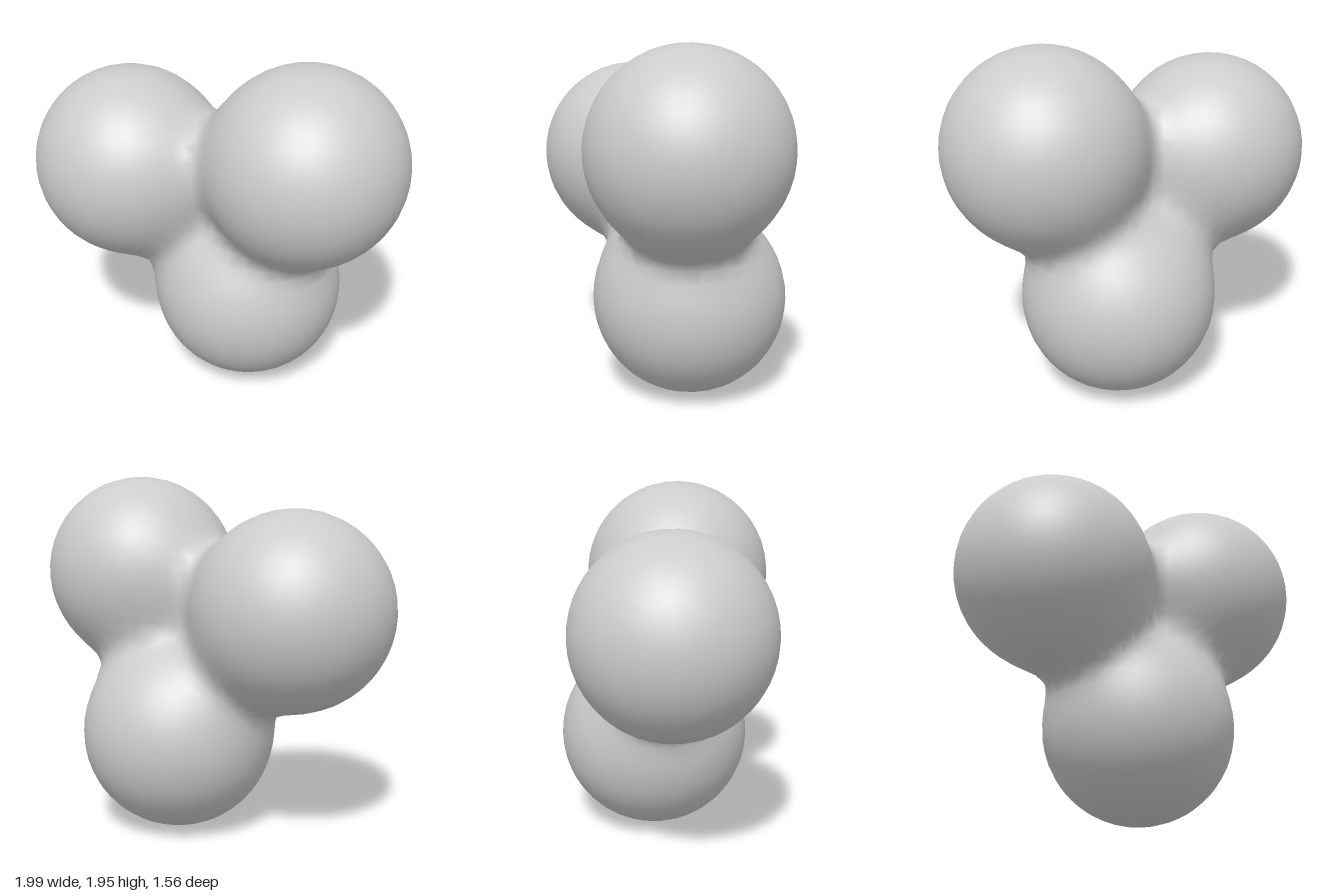
import * as THREE from 'three';

// Three equal balls melted into one another
const RADIUS = 0.535;
const BLEND = 0.088;
const CENTRES = [
  new THREE.Vector3(-0.465, 1.255, 0.245),
  new THREE.Vector3(0.455, 1.42, -0.245),
  new THREE.Vector3(0.07, 0.538, -0.185),
];

// Smooth union of the balls: negative inside, positive outside
function field(p) {
  let sum = 0;
  for (const c of CENTRES) sum += Math.exp((RADIUS - p.distanceTo(c)) / BLEND);
  return -BLEND * Math.log(sum);
}

function gradient(p) {
  const g = new THREE.Vector3();
  for (const c of CENTRES) {
    const d = p.clone().sub(c);
    const length = d.length() || 1e-6;
    g.addScaledVector(d, Math.exp((RADIUS - length) / BLEND) / length);
  }
  return g;
}

// Skin a field with one vertex per crossed grid cell, then settle it on the surface
function skinGeometry(min, step, size) {
  const [nx, ny, nz] = size;
  const id = (i, j, k) => i + nx * (j + ny * k);
  const point = (i, j, k) => new THREE.Vector3(i, j, k).multiplyScalar(step).add(min);
  const values = new Float32Array(nx * ny * nz);
  const eachNode = (visit) => {
    for (let k = 0; k < nz; k++)
      for (let j = 0; j < ny; j++)
        for (let i = 0; i < nx; i++) visit(i, j, k);
  };
  eachNode((i, j, k) => { values[id(i, j, k)] = field(point(i, j, k)); });

  const positions = [], normals = [], indices = [];
  const vertexOf = new Map();

  function cellVertex(i, j, k) {
    const key = id(i, j, k);
    if (vertexOf.has(key)) return vertexOf.get(key);
    const p = point(i + 0.5, j + 0.5, k + 0.5);
    for (let n = 0; n < 6; n++) {
      const g = gradient(p).normalize();
      p.addScaledVector(g, -field(p));
    }
    const index = positions.length / 3;
    positions.push(p.x, p.y, p.z);
    normals.push(...gradient(p).normalize().toArray());
    vertexOf.set(key, index);
    return index;
  }

  // One quad around every grid edge that passes through the surface
  eachNode((i, j, k) => {
    const node = [i, j, k];
    const inside = values[id(i, j, k)] < 0;
    for (let a = 0; a < 3; a++) {
      const b = (a + 1) % 3, c = (a + 2) % 3;
      if (node[a] + 1 >= size[a] || node[b] < 1 || node[c] < 1) continue;
      const next = [...node];
      next[a]++;
      if (inside === values[id(...next)] < 0) continue;
      const quad = [[-1, -1], [0, -1], [0, 0], [-1, 0]].map(([db, dc]) => {
        const cell = [...node];
        cell[b] += db;
        cell[c] += dc;
        return cellVertex(...cell);
      });
      if (!inside) quad.reverse();
      indices.push(quad[0], quad[1], quad[2], quad[0], quad[2], quad[3]);
    }
  });

  const geometry = new THREE.BufferGeometry();
  geometry.setAttribute('position', new THREE.Float32BufferAttribute(positions, 3));
  geometry.setAttribute('normal', new THREE.Float32BufferAttribute(normals, 3));
  geometry.setIndex(indices);
  return geometry;
}

export function createModel() {
  const group = new THREE.Group();
  group.name = 'meltedBalls';
  const geometry = skinGeometry(new THREE.Vector3(-1.12, -0.12, -0.92), 0.07, [33, 33, 27]);
  const blob = new THREE.Mesh(geometry, new THREE.MeshStandardMaterial({ color: 0xcccccc }));
  blob.name = 'blob';
  group.add(blob);
  return group;
}
